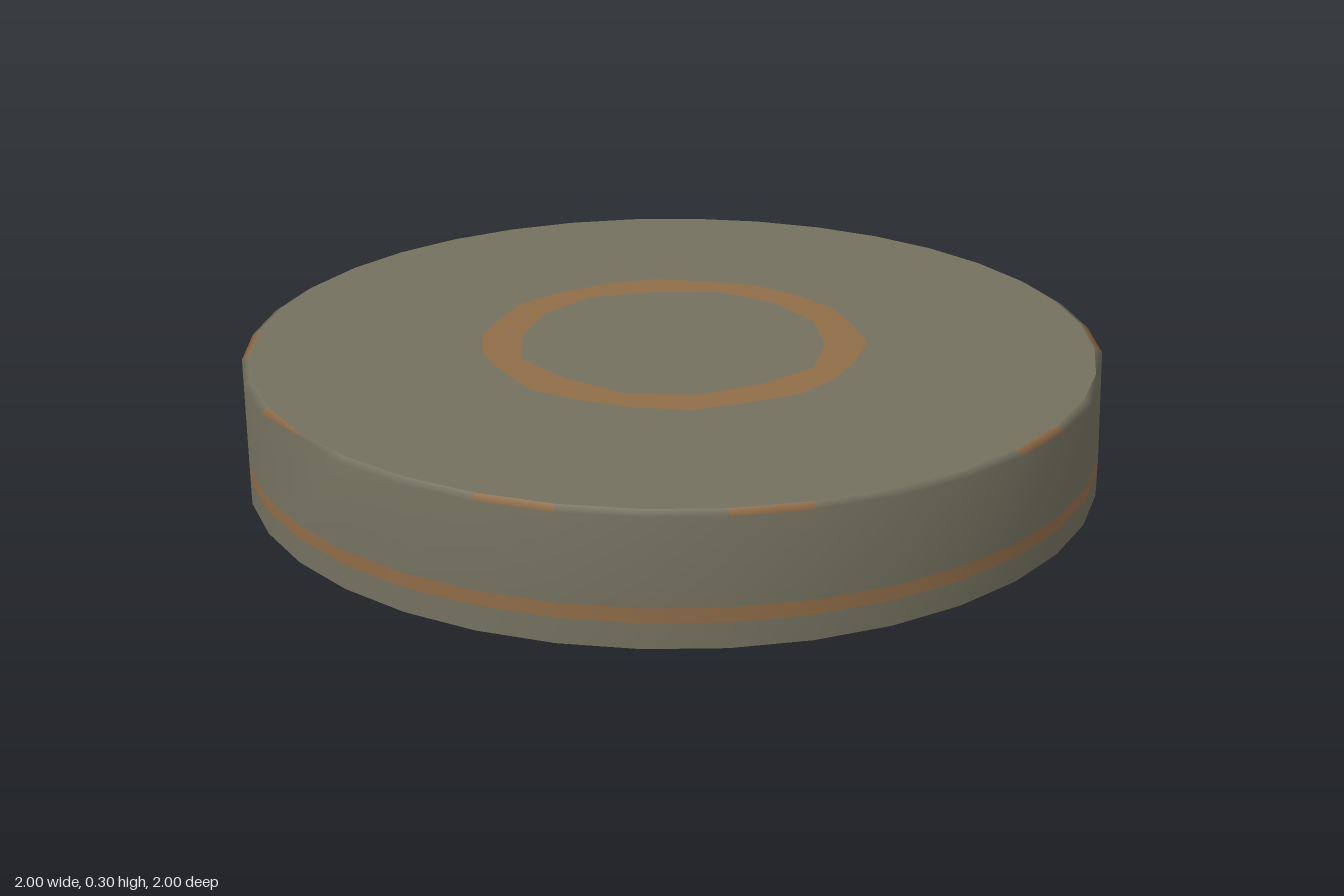
import * as THREE from 'three';

const SIDES = 36;
const olive = new THREE.MeshStandardMaterial({ color: 0x74715f, side: THREE.DoubleSide });
olive.name = 'drab olive';
const rust = new THREE.MeshStandardMaterial({ color: 0x8f6c48, side: THREE.DoubleSide });
rust.name = 'rust brown';

const TOP = 0.297;
// radius and height of each ring of the rim, bottom to top
const profile = [[1, 0], [1, 0.057], [1, 0.09], [1, 0.287], [0.982, TOP]];
const STRIPE = 1, BEVEL = 3;
// bevel facets worn down to rust, one every 36 degrees
const worn = new Set(Array.from({ length: 10 }, (_, k) => Math.floor((13 + 36 * k) / 10)));
// rim corners knocked slightly inwards
const dents = new Set([6, 19]);

function rimGeometry() {
  const pos = [], clean = [], worked = [];
  profile.forEach(([r, y], j) => {
    for (let i = 0; i < SIDES; i++) {
      const a = (i / SIDES) * Math.PI * 2;
      const rr = j === BEVEL && dents.has(i) ? r - 0.02 : r;
      pos.push(rr * Math.cos(a), y, rr * Math.sin(a));
    }
  });
  for (let j = 0; j < profile.length - 1; j++) {
    for (let i = 0; i < SIDES; i++) {
      const n = (i + 1) % SIDES;
      const a = j * SIDES + i, b = j * SIDES + n;
      const c = a + SIDES, d = b + SIDES;
      const rusty = j === STRIPE || (j === BEVEL && worn.has(i));
      (rusty ? worked : clean).push(a, c, b, b, c, d);
    }
  }
  const g = new THREE.BufferGeometry();
  g.setAttribute('position', new THREE.Float32BufferAttribute(pos, 3));
  g.setIndex([...clean, ...worked]);
  g.addGroup(0, clean.length, 0);
  g.addGroup(clean.length, worked.length, 1);
  g.computeVertexNormals();
  return g;
}

// closed polygon with a slight hand-worn wobble
function loop(radius, sides, wobble = 0) {
  return Array.from({ length: sides }, (_, i) => {
    const a = (i / sides) * Math.PI * 2;
    const r = radius + wobble * Math.sin(i * 2.4);
    return new THREE.Vector2(r * Math.cos(a), r * Math.sin(a));
  });
}

// flat piece of the lid, lying at the top and facing up
function lidPiece(name, outer, inner, material) {
  const shape = new THREE.Shape(outer);
  if (inner) shape.holes.push(new THREE.Path(inner));
  const mesh = new THREE.Mesh(new THREE.ShapeGeometry(shape), material);
  mesh.name = name;
  mesh.rotation.x = -Math.PI / 2;
  mesh.position.y = TOP;
  return mesh;
}

export function createModel() {
  const group = new THREE.Group();
  group.name = 'shallowLid';

  // open-bottomed rim with stripe and worn bevel
  const rim = new THREE.Mesh(rimGeometry(), [olive, rust]);
  rim.name = 'rim';
  group.add(rim);

  // top plate split around the painted ring
  const ringOuter = loop(0.448, 22, 0.008);
  const ringInner = loop(0.363, 14, 0.01);
  group.add(
    lidPiece('topPlate', loop(0.982, SIDES), ringOuter, olive),
    lidPiece('topRing', ringOuter, ringInner, rust),
    lidPiece('topCentre', ringInner, null, olive)
  );
  return group;
}
